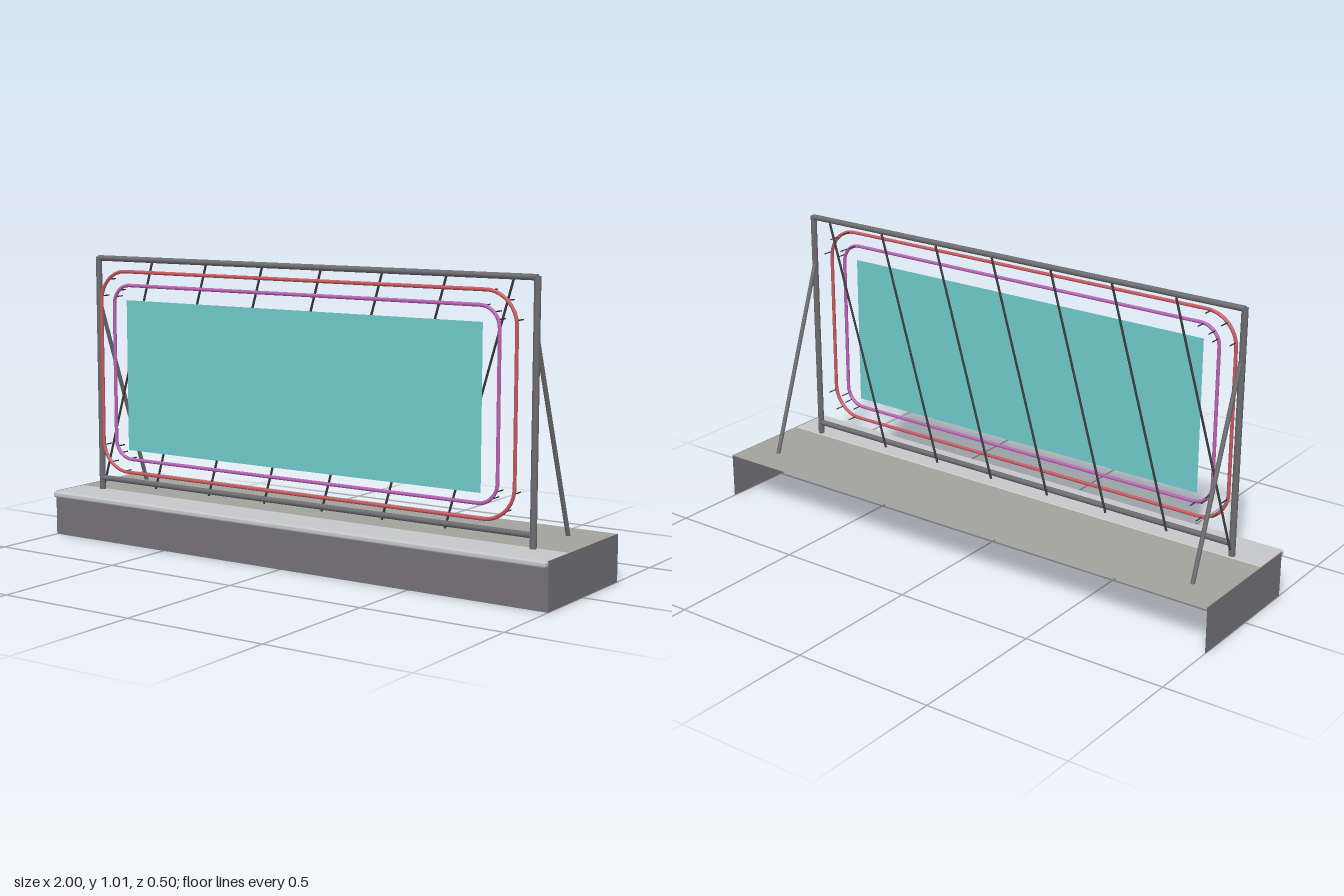
import * as THREE from 'three';
import { RoundedBoxGeometry } from 'three/addons/geometries/RoundedBoxGeometry.js';

const paint = (name, color, side = THREE.FrontSide) => {
  const m = new THREE.MeshStandardMaterial({ color, side });
  m.name = name;
  return m;
};

export function createModel() {
  const wallGrey = paint('wall grey', 0x747278, THREE.DoubleSide);
  const roofGrey = paint('roof grey', 0xa3a39d, THREE.DoubleSide);
  const copingGrey = paint('coping light grey', 0xc6c7c9);
  const steel = paint('frame steel', 0x6c6c70);
  const darkSteel = paint('dark rod', 0x38383b);
  const red = paint('red tube', 0xc75a60);
  const purple = paint('purple tube', 0xb964b4);
  const teal = paint('teal panel', 0x6fcacb, THREE.DoubleSide);

  const model = new THREE.Group();
  model.name = 'rooftopSign';
  const add = (name, geometry, material) => {
    const mesh = new THREE.Mesh(geometry, material);
    mesh.name = name;
    model.add(mesh);
    return mesh;
  };
  // Round bar between two points
  const bar = (name, from, to, radius, material, sides = 12) => {
    const a = new THREE.Vector3(...from), b = new THREE.Vector3(...to);
    const dir = b.clone().sub(a);
    const mesh = add(name, new THREE.CylinderGeometry(radius, radius, dir.length(), sides), material);
    mesh.position.copy(a).add(b).multiplyScalar(0.5);
    mesh.quaternion.setFromUnitVectors(new THREE.Vector3(0, 1, 0), dir.normalize());
  };

  // Open-backed base: front wall, two side walls, roof sheet
  add('frontWall', new THREE.PlaneGeometry(2, 0.16), wallGrey).position.set(0, 0.08, 0.229);
  for (const s of [-1, 1]) {
    const side = add('sideWall', new THREE.PlaneGeometry(0.48, 0.16), wallGrey);
    side.rotation.y = s * Math.PI / 2;
    side.position.set(s, 0.08, -0.01);
  }
  const roof = add('roof', new THREE.PlaneGeometry(2, 0.48), roofGrey);
  roof.rotation.x = -Math.PI / 2;
  roof.position.set(0, 0.159, -0.01);
  // Coping along the front edge
  add('coping', new RoundedBoxGeometry(1.998, 0.022, 0.16, 3, 0.008), copingGrey).position.set(0, 0.15, 0.17);

  // Frame posts, rear braces and rails
  const zFrame = 0.109;
  for (const s of [-1, 1]) {
    bar('post', [s * 0.883, 0.155, zFrame], [s * 0.883, 1.005, zFrame], 0.011, steel);
    bar('rearBrace', [s * 0.88, 0.825, 0.103], [s * 0.88, 0.155, -0.135], 0.0075, steel);
  }
  for (const y of [0.203, 1.001]) bar('rail', [-0.883, y, zFrame], [0.883, y, zFrame], 0.01, steel);

  // Slanted rods behind the panel
  for (let i = 0; i < 7; i++) {
    const x = -0.645 + i * 0.24;
    bar('slantedRod', [x - 0.237, 0.185, 0.097], [x, 0.995, 0.097], 0.004, darkSteel, 8);
  }

  // Display panel
  add('panel', new THREE.PlaneGeometry(1.438, 0.535), teal).position.set(-0.002, 0.592, 0.149);

  // Rounded rectangular glowing tubes
  const zTube = 0.15;
  const ringTube = (name, w, y0, y1, r, material) => {
    const path = new THREE.CurvePath();
    const v = (x, y) => new THREE.Vector3(x, y, zTube);
    const corners = [[w, y0], [w, y1], [-w, y1], [-w, y0]];
    const steps = [[0, 1], [-1, 0], [0, -1], [1, 0]]; // direction leaving each corner
    corners.forEach(([x, y], i) => {
      const [ox, oy] = steps[i], [ix, iy] = steps[(i + 3) % 4];
      const k = r * 0.448;
      path.add(new THREE.CubicBezierCurve3(
        v(x - ix * r, y - iy * r), v(x - ix * k, y - iy * k),
        v(x + ox * k, y + oy * k), v(x + ox * r, y + oy * r)));
      const [nx, ny] = corners[(i + 1) % 4];
      path.add(new THREE.LineCurve3(v(x + ox * r, y + oy * r), v(nx - ox * r, ny - oy * r)));
    });
    add(name, new THREE.TubeGeometry(path, 420, 0.0062, 8, true), material);
  };
  ringTube('outerTube', 0.837, 0.244, 0.96, 0.11, red);
  ringTube('innerTube', 0.777, 0.292, 0.912, 0.07, purple);

  // Small standoffs holding the tubes at each corner
  const standoffs = [[0.836, 0.87], [0.804, 0.93], [0.745, 0.959], [0.774, 0.87], [0.76, 0.893], [0.72, 0.911]];
  for (const [x, y] of standoffs)
    for (const s of [-1, 1])
      for (const yy of [y, 1.204 - y])
        bar('standoff', [s * x, yy, zTube], [s * x, yy, 0.11], 0.0022, darkSteel, 6);

  return model;
}
